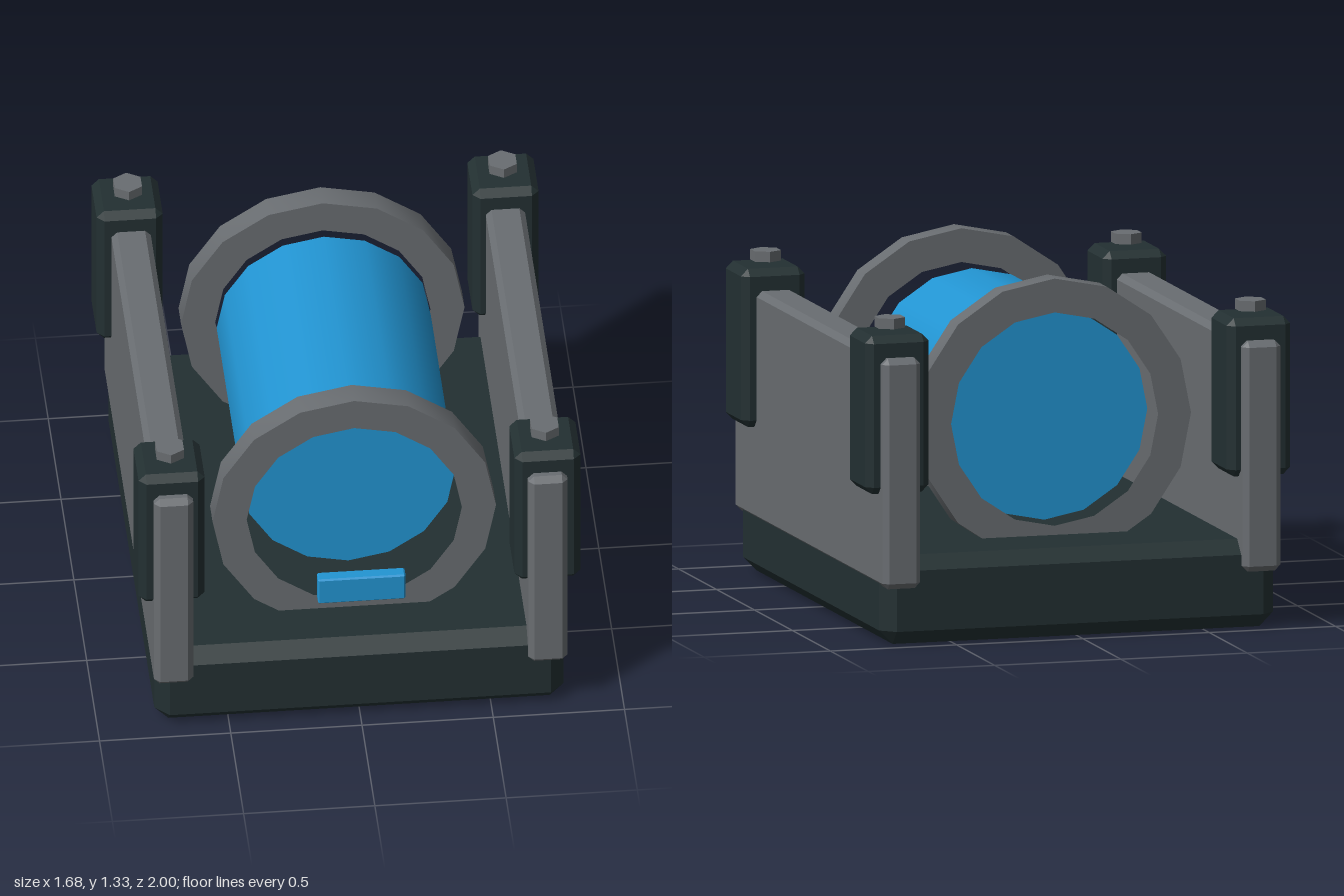
import * as THREE from 'three';
import { toCreasedNormals } from 'three/addons/utils/BufferGeometryUtils.js';
import { ConvexGeometry } from 'three/addons/geometries/ConvexGeometry.js';

const flat = (name, color) => {
  const m = new THREE.MeshStandardMaterial({ color });
  m.name = name;
  return m;
};

// Box with every edge cut by a flat chamfer
function chamferBox(w, h, d, c) {
  const half = [w / 2, h / 2, d / 2];
  const points = [];
  for (const sx of [-1, 1]) for (const sy of [-1, 1]) for (const sz of [-1, 1]) {
    const s = [sx, sy, sz];
    for (let axis = 0; axis < 3; axis++) {
      const p = half.map((v, i) => s[i] * (i === axis ? v : v - c));
      points.push(new THREE.Vector3(...p));
    }
  }
  return new ConvexGeometry(points);
}

// Circle outline with a corner at the top
function polygon(radius, sides) {
  return Array.from({ length: sides }, (_, i) => {
    const a = (i / sides) * Math.PI * 2;
    return new THREE.Vector2(Math.sin(a) * radius, Math.cos(a) * radius);
  });
}

export function createModel() {
  const steel = flat('steel grey', 0x696d71);
  const dark = flat('dark slate', 0x233032);
  const blue = flat('bright blue', 0x2295d3);

  const model = new THREE.Group();
  model.name = 'cylinderCradle';
  const add = (name, geometry, material, x, y, z) => {
    const mesh = new THREE.Mesh(geometry, material);
    mesh.name = name;
    mesh.position.set(x, y, z);
    model.add(mesh);
    return mesh;
  };

  const midZ = -0.013;
  const axisY = 0.785;

  // Base slab
  add('base', chamferBox(1.56, 0.34, 1.9, 0.054), dark, 0, 0.17, midZ);

  // Side walls, corner posts and hexagonal bolts
  const wall = chamferBox(0.15, 0.885, 1.975, 0.022);
  const post = chamferBox(0.252, 0.608, 0.255, 0.028);
  const bolt = toCreasedNormals(new THREE.CylinderGeometry(0.06, 0.06, 0.04, 6), 0.5);
  for (const side of [1, -1]) {
    const label = side > 0 ? 'left' : 'right';
    add(label + 'Wall', wall, steel, side * 0.713, 0.665, midZ);
    for (const end of [1, -1]) {
      const corner = label + (end > 0 ? 'Front' : 'Back');
      const z = midZ + end * 0.817;
      add(corner + 'Post', post, dark, side * 0.716, 0.887, z);
      add(corner + 'Bolt', bolt, steel, side * 0.714, 1.225, z);
    }
  }

  // Central cylinder lying along z
  const drum = new THREE.CylinderGeometry(0.408, 0.408, 0.955, 16).rotateX(-Math.PI / 2);
  add('drum', drum, blue, 0, axisY, midZ);

  // Ring at each end of the drum
  const outline = new THREE.Shape(polygon(0.54, 16));
  outline.holes.push(new THREE.Path(polygon(0.41, 16)));
  const ring = toCreasedNormals(
    new THREE.ExtrudeGeometry(outline, { depth: 0.1, bevelEnabled: false }), 0.6);
  add('frontRing', ring, steel, 0, axisY, 0.6);
  add('backRing', ring, steel, 0, axisY, -0.627);

  // Front plate
  add('frontPlate', chamferBox(0.334, 0.115, 0.052, 0.006), blue, 0, 0.649, 0.972);

  return model;
}
